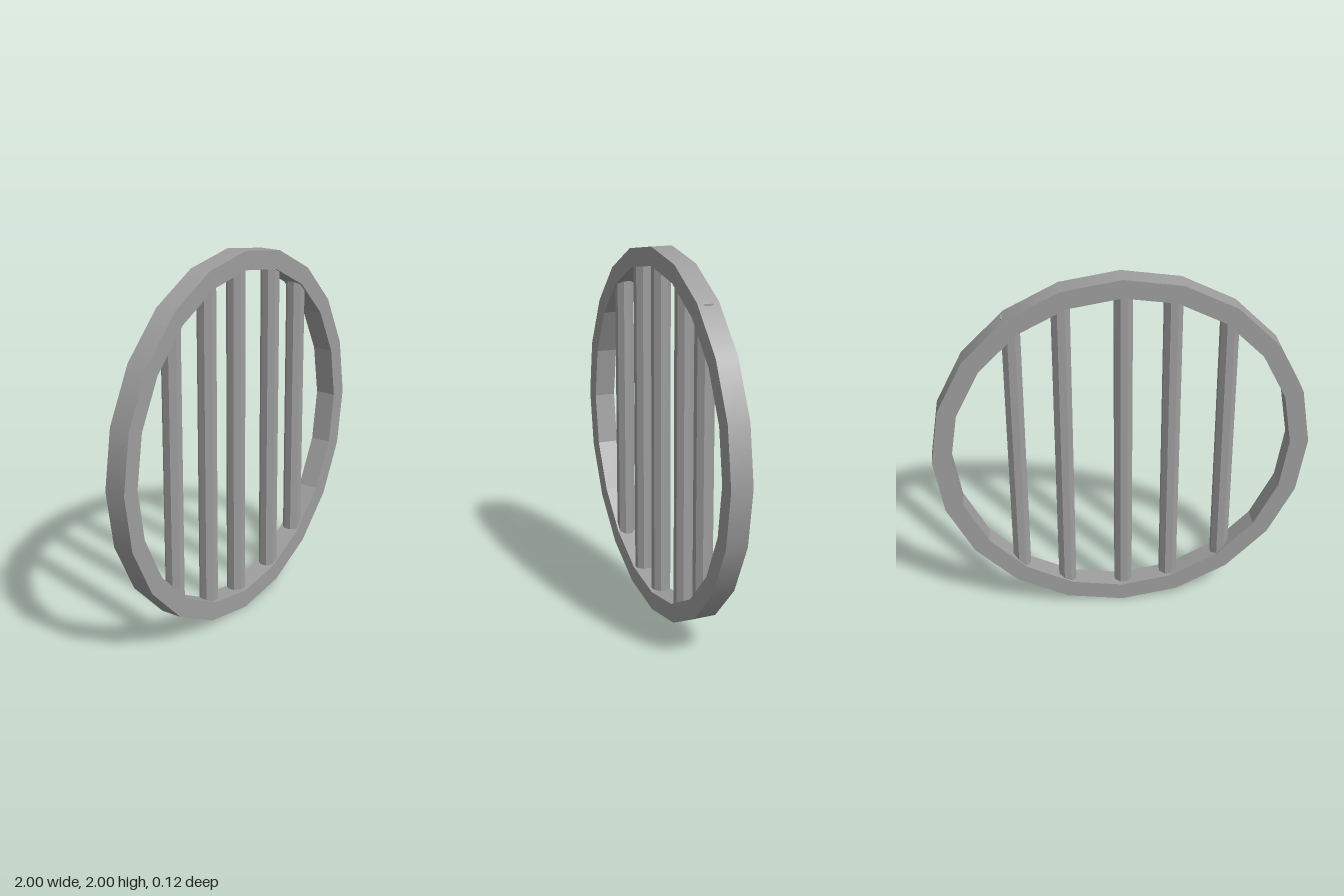
import * as THREE from 'three';

const SIDES = 20;
const DEPTH = 0.115;
const COLOR = 0x9e9e9e;

function polygon(radius) {
  return Array.from({ length: SIDES }, (_, i) => {
    const a = (i / SIDES) * Math.PI * 2;
    return new THREE.Vector2(Math.cos(a) * radius, Math.sin(a) * radius);
  });
}

// Twenty-sided ring: flat facets inside, smooth shading around the outer rim
function ringGeometry() {
  const shape = new THREE.Shape(polygon(1));
  shape.holes.push(new THREE.Path(polygon(0.9)));
  const geometry = new THREE.ExtrudeGeometry(shape, { depth: DEPTH, bevelEnabled: false });
  geometry.translate(0, 0, -DEPTH / 2);
  const { position, normal } = geometry.attributes;
  for (let i = 0; i < position.count; i++) {
    const x = position.getX(i);
    const y = position.getY(i);
    const onRim = Math.hypot(x, y) > 0.95 && Math.abs(normal.getZ(i)) < 0.5;
    if (onRim) normal.setXYZ(i, x, y, 0);
  }
  return geometry;
}

export function createModel() {
  const model = new THREE.Group();
  model.name = 'roundGrate';

  const ring = new THREE.Mesh(ringGeometry(), new THREE.MeshStandardMaterial({ color: COLOR }));
  ring.name = 'ring';
  ring.position.y = 1;
  model.add(ring);

  // Upright octagonal bars: x, bottom, top
  const barMaterial = new THREE.MeshStandardMaterial({ color: COLOR, flatShading: true });
  const bars = [
    [-0.552, 0.23, 1.765],
    [-0.262, 0.15, 1.9],
    [-0.009, 0.115, 1.93],
    [0.305, 0.11, 1.89],
    [0.555, 0.275, 1.803],
  ];
  bars.forEach(([x, bottom, top], i) => {
    const geometry = new THREE.CylinderGeometry(0.051, 0.051, top - bottom, 8);
    geometry.rotateY(Math.PI / 8);
    const bar = new THREE.Mesh(geometry, barMaterial);
    bar.name = `bar${i + 1}`;
    bar.position.set(x, (bottom + top) / 2, 0);
    model.add(bar);
  });

  return model;
}
